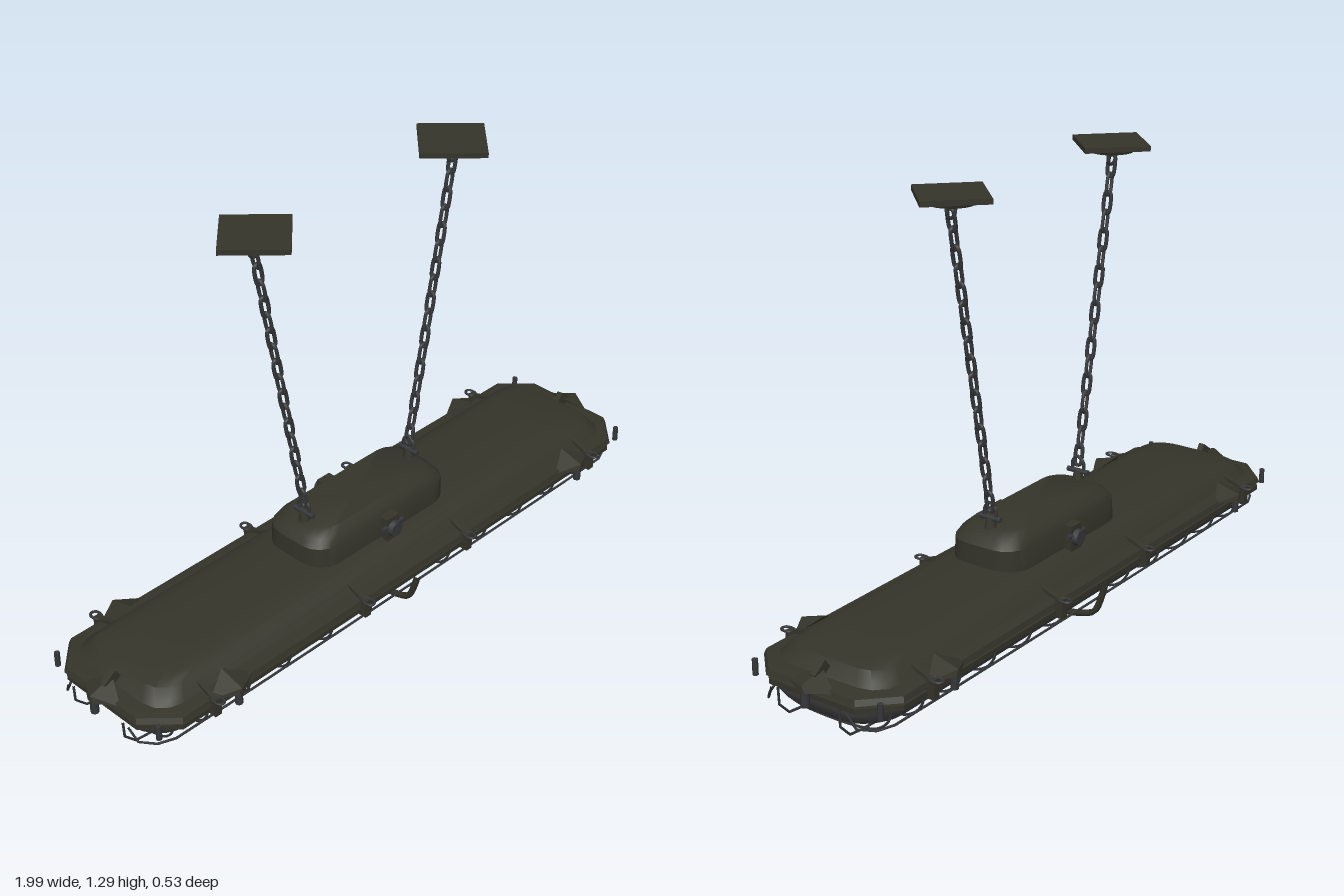
import * as THREE from 'three';
import { toCreasedNormals } from 'three/addons/utils/BufferGeometryUtils.js';
import { ConvexGeometry } from 'three/addons/geometries/ConvexGeometry.js';

const paint = new THREE.MeshStandardMaterial({ color: 0x34342a });
paint.name = 'dark olive paint';
const steel = new THREE.MeshStandardMaterial({ color: 0x36373a });
steel.name = 'dark steel';
const glass = new THREE.MeshStandardMaterial({ color: 0x424242 });
glass.name = 'smoked glass';

const V = (x, y, z) => new THREE.Vector3(x, y, z);

function add(parent, name, geo, mat, x = 0, y = 0, z = 0) {
  const m = new THREE.Mesh(geo, mat);
  m.name = name;
  m.position.set(x, y, z);
  parent.add(m);
  return m;
}

// Rectangle outline with chamfered (steps = 1) or rounded corners, anticlockwise from above
function outline([y, hx, hz, r], steps) {
  const pts = [];
  [[1, -1], [-1, -1], [-1, 1], [1, 1]].forEach(([sx, sz], c) => {
    for (let i = 0; i <= steps; i++) {
      const a = (c + i / steps) * Math.PI / 2;
      pts.push(V(sx * (hx - r) + r * Math.cos(a), y, sz * (hz - r) - r * Math.sin(a)));
    }
  });
  return pts;
}

// Closed solid through sections [y, halfX, halfZ, corner], listed from bottom to top
function loft(sections, steps, crease = 0.6) {
  const rings = sections.map((s) => outline(s, steps));
  const n = rings[0].length, pos = [];
  const tri = (...p) => p.forEach((v) => pos.push(v.x, v.y, v.z));
  for (let k = 0; k < rings.length - 1; k++) {
    for (let i = 0; i < n; i++) {
      const j = (i + 1) % n, a = rings[k], b = rings[k + 1];
      tri(a[i], a[j], b[j]);
      tri(a[i], b[j], b[i]);
    }
  }
  const low = V(0, sections[0][0], 0), high = V(0, sections.at(-1)[0], 0);
  for (let i = 0; i < n; i++) {
    const j = (i + 1) % n;
    tri(low, rings[0][j], rings[0][i]);
    tri(high, rings.at(-1)[i], rings.at(-1)[j]);
  }
  const g = new THREE.BufferGeometry();
  g.setAttribute('position', new THREE.Float32BufferAttribute(pos, 3));
  return toCreasedNormals(g, crease);
}

function wire(points, radius, segments, closed = false) {
  const curve = new THREE.CatmullRomCurve3(points, closed, 'centripetal');
  return new THREE.TubeGeometry(curve, segments, radius, 6, closed);
}

// Oval chain link, long axis on y, lying in the xy plane
function linkGeometry(w, h, r) {
  const pts = [];
  for (let i = 0; i < 12; i++) {
    const a = (i + 0.5) / 12 * Math.PI * 2;
    pts.push(V(w * Math.cos(a), (h - w) * Math.sign(Math.sin(a)) + w * Math.sin(a), 0));
  }
  return wire(pts, r, 24, true);
}

function buildBody(root) {
  // Two-band rim with a recessed seam
  add(root, 'lowerRim', loft([[0.115, 0.945, 0.21, 0.08], [0.12, 0.96, 0.225, 0.085],
    [0.135, 0.96, 0.225, 0.085]], 1), paint);
  add(root, 'rimSeam', loft([[0.135, 0.94, 0.207, 0.08], [0.145, 0.94, 0.207, 0.08]], 1), steel);
  add(root, 'upperRim', loft([[0.145, 0.965, 0.23, 0.085], [0.16, 0.96, 0.225, 0.085],
    [0.166, 0.935, 0.2, 0.08]], 1), paint);
  // Sloping sheet-metal housing
  add(root, 'housing', loft([[0.16, 0.92, 0.195, 0.08], [0.178, 0.905, 0.178, 0.075],
    [0.2, 0.885, 0.158, 0.07], [0.212, 0.83, 0.14, 0.07], [0.221, 0.75, 0.11, 0.06],
    [0.224, 0.7, 0.06, 0.04]], 3, 0.5), paint);
  // Ballast box with side knobs
  add(root, 'ballastBox', loft([[0.2, 0.27, 0.117, 0.07], [0.282, 0.268, 0.115, 0.07],
    [0.305, 0.25, 0.102, 0.065], [0.322, 0.22, 0.085, 0.06]], 4), paint);
  for (const s of [-1, 1]) {
    const knob = new THREE.Group();
    knob.name = 'ballastKnob';
    knob.position.set(0, 0.25, s * 0.125);
    add(knob, 'knobPlate', new THREE.BoxGeometry(0.05, 0.075, 0.03), paint);
    add(knob, 'knobCap', new THREE.CylinderGeometry(0.022, 0.026, 0.02, 12), steel, 0, 0, s * 0.02)
      .rotation.x = s * Math.PI / 2;
    add(knob, 'knobBar', new THREE.CylinderGeometry(0.007, 0.007, 0.08, 8), steel, 0, 0.01, s * 0.012)
      .rotation.z = Math.PI / 2;
    root.add(knob);
  }
  // Rounded glass lens under the rim
  add(root, 'lens', loft([[0.041, 0.86, 0.05, 0.045], [0.044, 0.89, 0.1, 0.08],
    [0.055, 0.912, 0.15, 0.1], [0.075, 0.928, 0.182, 0.1], [0.098, 0.936, 0.196, 0.09],
    [0.12, 0.938, 0.2, 0.08]], 5, 0.9), glass);
}

function buildCage(root) {
  const cage = new THREE.Group();
  cage.name = 'guardCage';
  root.add(cage);
  // Mirror half a path about its middle
  const mirrored = (half, axis) => half.concat(half.slice().reverse().map((p) => {
    const q = p.clone();
    q[axis] *= -1;
    return q;
  }));
  // Cross ribs
  for (const x of [0.16, 0.32, 0.48, 0.63, 0.78, 0.88]) {
    const k = x > 0.85 ? 0.9 : 1;
    for (const s of [-1, 1]) {
      const half = [V(s * x, 0.125, 0.218 * k), V(s * x, 0.08, 0.2 * k),
        V(s * x, 0.05, 0.165 * k), V(s * x, 0.036, 0.1)];
      add(cage, 'cageRib', wire(mirrored(half, 'z'), 0.0035, 28), steel);
    }
  }
  // Lengthwise wires that turn up at the ends
  for (const z of [-0.1, 0.1]) {
    const half = [V(0.972, 0.13, z), V(0.968, 0.075, z), V(0.935, 0.042, z), V(0.89, 0.036, z)];
    add(cage, 'cageLengthWire', wire(mirrored(half, 'x'), 0.0035, 40), steel);
  }
  for (const z of [-1, 1]) {
    const half = [V(0.972, 0.125, z * 0.12), V(0.955, 0.075, z * 0.15),
      V(0.89, 0.072, z * 0.192), V(0.8, 0.072, z * 0.196)];
    add(cage, 'cageSideWire', wire(mirrored(half, 'x'), 0.0035, 40), steel);
  }
  // Heavy centre strap
  const strap = [V(0, 0.13, 0.236), V(0, 0.09, 0.225), V(0, 0.04, 0.202),
    V(0, 0.022, 0.16), V(0, 0.011, 0.07)];
  add(cage, 'centreStrap', wire(mirrored(strap, 'z'), 0.0095, 40), paint);
}

function buildFittings(root) {
  const gusset = new ConvexGeometry([V(-0.075, 0.155, 0), V(0.075, 0.155, 0), V(0, 0.192, -0.04),
    V(-0.01, 0.152, 0.038), V(0.01, 0.152, 0.038), V(0, 0.17, 0.038)]);
  const eye = linkGeometry(0.012, 0.018, 0.004);
  for (const s of [-1, 1]) {
    // Rim clamps along the long sides
    for (const x of [-0.77, -0.21, 0.21, 0.77]) {
      const clamp = new THREE.Group();
      clamp.name = 'rimClamp';
      clamp.position.set(x, 0, s * 0.232);
      add(clamp, 'clampBody', new THREE.BoxGeometry(0.022, 0.055, 0.026), paint, 0, 0.14, 0);
      add(clamp, 'clampArm', new THREE.BoxGeometry(0.014, 0.01, 0.07), paint, 0, 0.172, -s * 0.03)
        .rotation.x = s * 0.35;
      add(clamp, 'clampEye', eye, steel, 0, 0.165, s * 0.014).rotation.x = Math.PI / 2;
      root.add(clamp);
    }
    for (const x of [-0.7, 0.7]) {
      const g = add(root, 'sideGusset', gusset, paint, x, 0, s * 0.222);
      g.rotation.y = s > 0 ? 0 : Math.PI;
      add(root, 'gussetBolt', new THREE.CylinderGeometry(0.011, 0.011, 0.055, 8), steel, x, 0.14, s * 0.247);
    }
    // End brackets
    add(root, 'endGusset', gusset, paint, s * 0.957, 0, 0).rotation.y = s * Math.PI / 2;
    add(root, 'endBolt', new THREE.CylinderGeometry(0.012, 0.012, 0.05, 8), steel, s * 0.983, 0.135, 0);
    add(root, 'endLatch', new THREE.BoxGeometry(0.05, 0.03, 0.018), paint, s * 0.925, 0.185, 0)
      .rotation.z = -s * 0.6;
    // Small bolts at the rim corners
    for (const t of [-1, 1]) {
      add(root, 'cornerBolt', new THREE.CylinderGeometry(0.008, 0.008, 0.045, 8), steel,
        s * 0.94, 0.14, t * 0.205);
    }
  }
}

function buildHanger(root, side) {
  const hanger = new THREE.Group();
  hanger.name = side > 0 ? 'leftHanger' : 'rightHanger';
  root.add(hanger);
  // Diamond ceiling plate with a round boss and ring
  add(hanger, 'ceilingPlate', new THREE.BoxGeometry(0.184, 0.015, 0.184), paint, side * 0.365, 1.28, 0)
    .rotation.y = Math.PI / 4;
  add(hanger, 'plateBoss', new THREE.CylinderGeometry(0.072, 0.066, 0.014, 20), paint, side * 0.365, 1.266, 0);
  add(hanger, 'plateRing', linkGeometry(0.018, 0.024, 0.005), steel, side * 0.368, 1.243, 0);
  // Shackle on the ballast box
  add(hanger, 'shackleBase', new THREE.CylinderGeometry(0.012, 0.018, 0.03, 10), paint, side * 0.212, 0.332, 0);
  add(hanger, 'shacklePin', new THREE.CylinderGeometry(0.008, 0.008, 0.07, 8), steel, side * 0.212, 0.347, 0)
    .rotation.x = Math.PI / 2;
  add(hanger, 'shackleBow', wire([V(0, 0, -0.018), V(0, 0.03, -0.018), V(0, 0.046, 0),
    V(0, 0.03, 0.018), V(0, 0, 0.018)], 0.005, 20), steel, side * 0.212, 0.345, 0);
  // Chain of links turned alternately
  const low = V(side * 0.215, 0.395, 0), high = V(side * 0.367, 1.215, 0);
  const link = linkGeometry(0.0105, 0.031, 0.0055), count = 17;
  for (let i = 0; i < count; i++) {
    const m = add(hanger, 'chainLink', link, steel);
    m.position.lerpVectors(low, high, i / (count - 1));
    m.rotation.set(0, i % 2 ? 0 : Math.PI / 2, -side * Math.atan2(0.152, 0.82), 'ZYX');
  }
}

export function createModel() {
  const root = new THREE.Group();
  root.name = 'hangingLamp';
  buildBody(root);
  buildCage(root);
  buildFittings(root);
  for (const side of [-1, 1]) buildHanger(root, side);
  return root;
}
